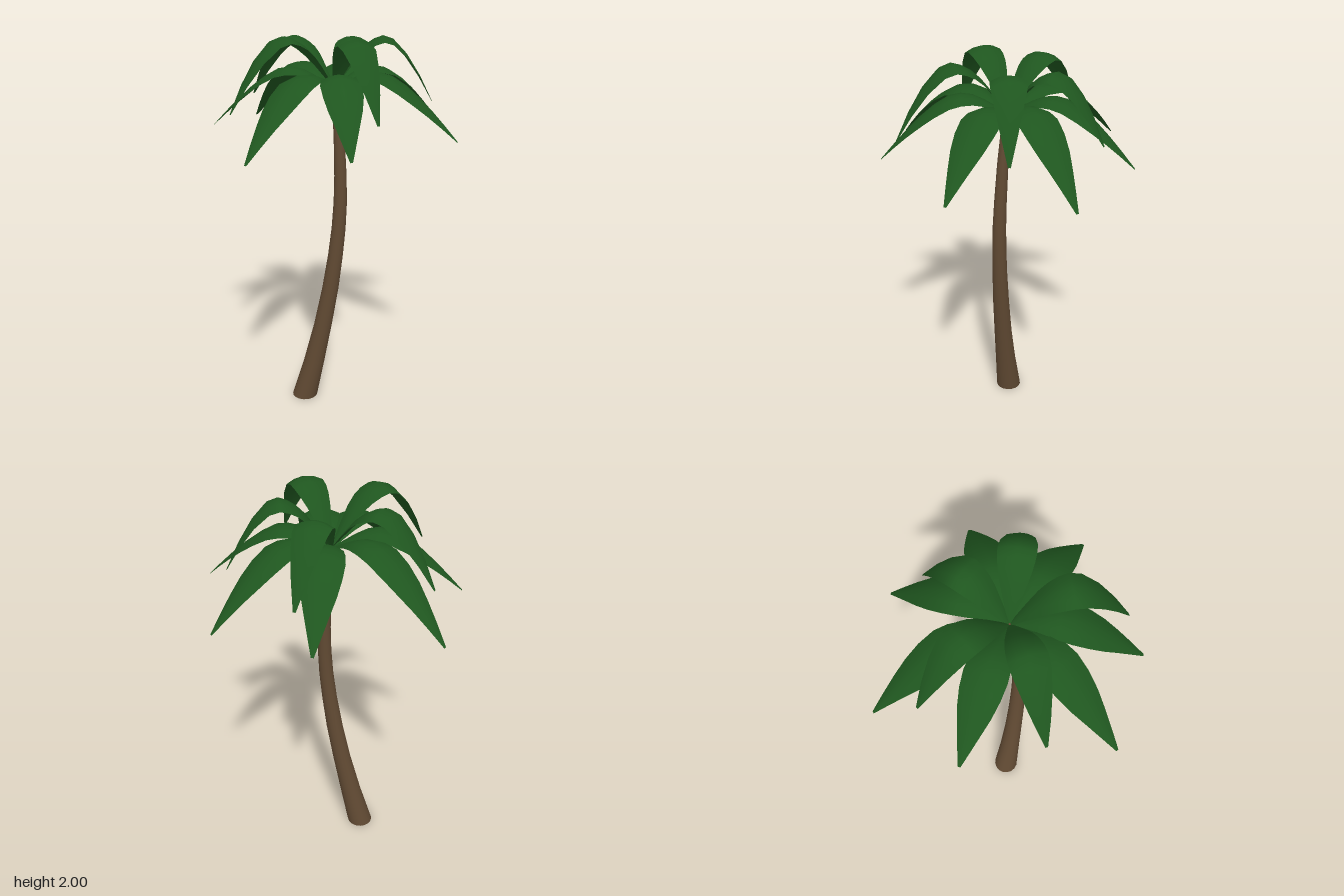
import * as THREE from 'three';
import { toCreasedNormals } from 'three/addons/utils/BufferGeometryUtils.js';

const CROWN = new THREE.Vector3(0.002, 0, -0.042);
const CUP = 0.32; // how far a frond's edges droop, relative to its half width

// Smooth curve through a few profile points, sampled by fraction 0..1
const profile = (points) =>
  new THREE.CatmullRomCurve3(points.map((p) => new THREE.Vector3(...p)), false, 'centripetal');

// Trunk: a cylinder whose level rings follow a leaning, tapering curve
function trunkGeometry() {
  // centre x, height, centre z
  const spine = profile([
    [-0.145, 0, 0.027], [-0.066, 0.33, 0.011], [-0.004, 0.65, -0.004], [0.032, 0.92, -0.015],
    [0.047, 1.12, -0.022], [0.045, 1.32, -0.029], [0.025, 1.6, -0.038], [0.004, 1.745, -0.042],
  ]);
  const radii = profile([
    [0.069, 0, 0], [0.052, 0.33, 0], [0.044, 0.65, 0], [0.038, 0.92, 0],
    [0.035, 1.12, 0], [0.031, 1.32, 0], [0.025, 1.6, 0], [0.018, 1.745, 0],
  ]);
  const geo = new THREE.CylinderGeometry(1, 1, 1, 16, 10);
  const pos = geo.attributes.position;
  for (let i = 0; i < pos.count; i++) {
    const t = pos.getY(i) + 0.5;
    const c = spine.getPoint(t);
    const r = radii.getPoint(t).x;
    pos.setXYZ(i, c.x + pos.getX(i) * r, c.y, c.z + pos.getZ(i) * r);
  }
  return toCreasedNormals(geo, 0.9);
}

// Frond profiles: fraction of reach, ridge height, half width
const LOWER = profile([
  [0, 1.738, 0.008], [0.15, 1.797, 0.045], [0.3, 1.833, 0.082], [0.45, 1.823, 0.098],
  [0.64, 1.742, 0.083], [0.82, 1.635, 0.047], [1, 1.51, 0.006],
]);
const UPPER = profile([
  [0, 1.738, 0.008], [0.13, 1.842, 0.035], [0.27, 1.935, 0.064], [0.4, 1.985, 0.08],
  [0.54, 1.994, 0.083], [0.77, 1.875, 0.055], [1, 1.66, 0.006],
]);

// Frond: a leaf blade that arches out along its length and curves down at both edges
function frondGeometry(curve, tipX, tipZ, tipLift, archLift) {
  const dx = tipX - CROWN.x, dz = tipZ - CROWN.z;
  const reach = Math.hypot(dx, dz);
  const geo = new THREE.PlaneGeometry(1, 1, 4, 10);
  const pos = geo.attributes.position;
  for (let i = 0; i < pos.count; i++) {
    const side = pos.getX(i) * 2;
    const p = curve.getPoint(pos.getY(i) + 0.5);
    const w = side * p.z / reach;
    const y = p.y + tipLift * p.x * p.x + archLift * Math.sin(Math.PI * p.x) - CUP * p.z * side * side;
    pos.setXYZ(i, CROWN.x + dx * p.x - dz * w, y, CROWN.z + dz * p.x + dx * w);
  }
  geo.computeVertexNormals();
  return geo;
}

export function createModel() {
  const bark = new THREE.MeshStandardMaterial({ color: 0x614a33 });
  bark.name = 'barkBrown';
  const leaf = new THREE.MeshStandardMaterial({ color: 0x1f561f, side: THREE.DoubleSide });
  leaf.name = 'leafGreen';

  const palm = new THREE.Group();
  palm.name = 'palmTree';
  const trunk = new THREE.Mesh(trunkGeometry(), bark);
  trunk.name = 'trunk';
  palm.add(trunk);

  // Two tiers of fronds: tip x, tip z, lift of the tip, lift of the arch
  const tiers = {
    lowerFrond: [LOWER, [
      [-0.145, -0.64, 0.02, 0], [0.36, -0.585, -0.01, 0], [0.628, -0.095, 0.015, -0.01],
      [0.34, 0.465, 0.015, 0], [-0.09, 0.636, -0.01, 0], [-0.587, 0.15, 0.03, 0],
      [-0.628, -0.32, -0.01, 0.012],
    ]],
    upperFrond: [UPPER, [
      [-0.02, -0.53, 0, -0.032], [0.423, -0.29, 0.01, -0.01], [0.4, 0.32, 0, 0],
      [-0.312, 0.408, 0, 0.002], [-0.52, -0.13, 0, -0.02],
    ]],
  };
  for (const [name, [curve, tips]] of Object.entries(tiers)) {
    tips.forEach(([x, z, tipLift, archLift], i) => {
      const frond = new THREE.Mesh(frondGeometry(curve, x, z, tipLift, archLift), leaf);
      frond.name = name + (i + 1);
      palm.add(frond);
    });
  }
  return palm;
}
